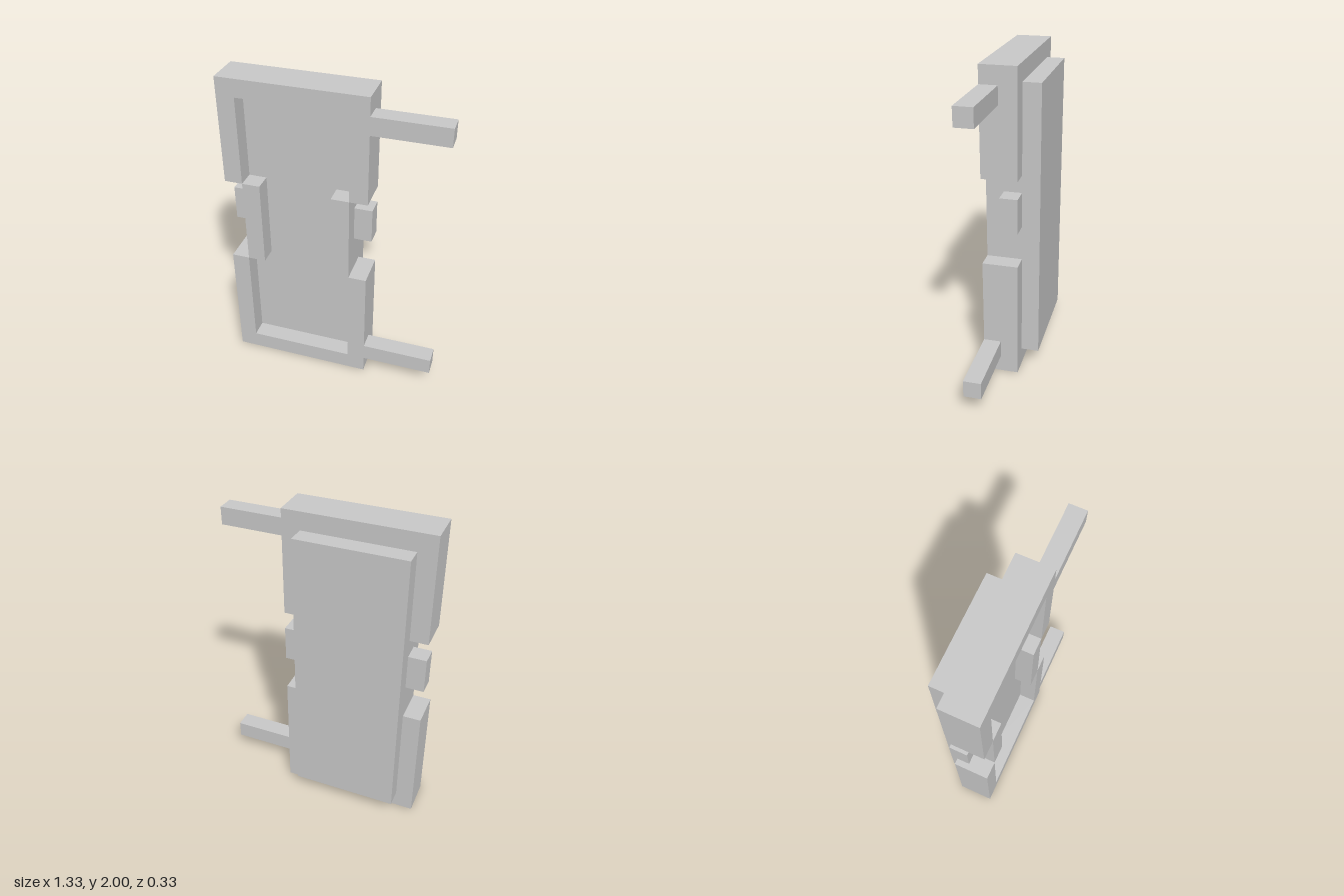
import * as THREE from 'three';

const U = 1 / 9; // grid unit: the model is 18 units tall
const material = new THREE.MeshStandardMaterial({ color: 0xcccccc, flatShading: true });

// Box given by its low and high corners in grid units
function block(name, [x0, y0, z0], [x1, y1, z1]) {
  const geometry = new THREE.BoxGeometry((x1 - x0) * U, (y1 - y0) * U, (z1 - z0) * U);
  const mesh = new THREE.Mesh(geometry, material);
  mesh.name = name;
  mesh.position.set((x0 + x1) * U / 2, (y0 + y1) * U / 2, (z0 + z1) * U / 2);
  return mesh;
}

// U-shaped half of the rim: outer edge, open edge and inner edge heights
function rimHalf(name, outerY, openY, innerY) {
  const outline = [
    [-6, outerY], [2, outerY], [2, openY], [1, openY],
    [1, innerY], [-5, innerY], [-5, openY], [-6, openY],
  ].map(([x, y]) => new THREE.Vector2(x * U, y * U));
  const geometry = new THREE.ExtrudeGeometry(new THREE.Shape(outline), { depth: 2 * U, bevelEnabled: false });
  geometry.translate(0, 0, -0.5 * U);
  const mesh = new THREE.Mesh(geometry, material);
  mesh.name = name;
  return mesh;
}

export function createModel() {
  const group = new THREE.Group();
  group.name = 'framedPanel';

  // Thick panel, recessed at the front and standing out at the back
  group.add(block('panel', [-5, 1, -1.5], [1, 17, 0.5]));

  // Rim, split by a gap on both sides
  group.add(rimHalf('upperRim', 18, 12, 17));
  group.add(rimHalf('lowerRim', 0, 7, 1));

  // Inset side strips across the gap, with a tab outside each
  for (const [side, strip, tab] of [['left', 0, 1], ['right', -5, -6]]) {
    group.add(block(side + 'InsetStrip', [strip, 7, 0.5], [strip + 1, 12, 1.5]));
    group.add(block(side + 'Tab', [tab, 9, -0.5], [tab + 1, 11, 0.5]));
  }

  // Mounting arms reaching out from the left side
  for (const [name, y] of [['lowerArm', 1], ['upperArm', 16]]) {
    group.add(block(name, [2, y, 0.5], [6, y + 1, 1.5]));
  }
  return group;
}
